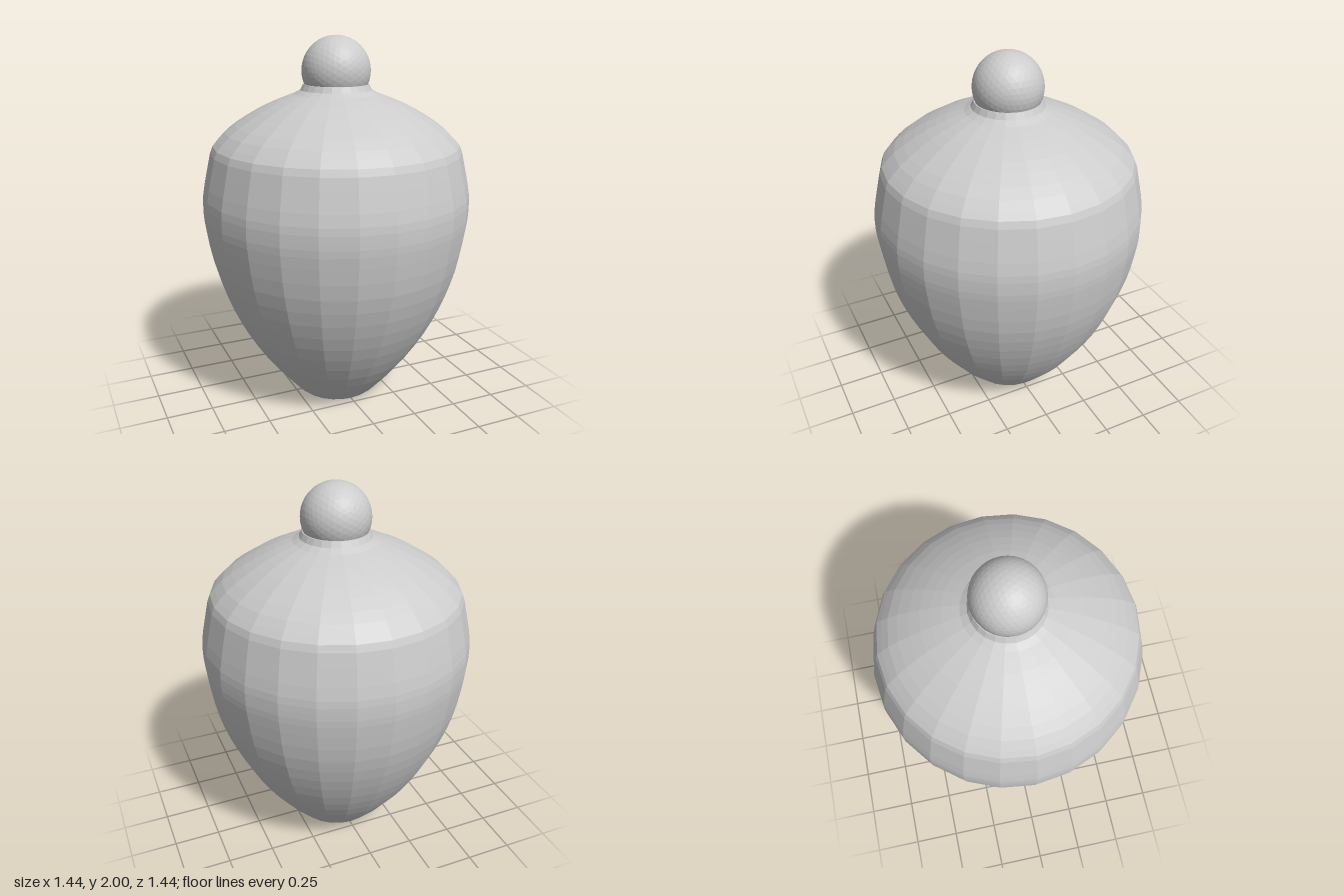
import * as THREE from 'three';

const SIDES = 24;
const material = new THREE.MeshStandardMaterial({ color: 0xcccccc, flatShading: true });

// Smooth curve through [radius, height] points
function profile(points, steps) {
  return new THREE.SplineCurve(points.map(([r, y]) => new THREE.Vector2(r, y))).getPoints(steps);
}

function addPart(group, name, geometry) {
  const mesh = new THREE.Mesh(geometry, material);
  mesh.name = name;
  group.add(mesh);
  return mesh;
}

export function createModel() {
  const group = new THREE.Group();
  group.name = 'lidded urn';

  // Closed foot with a small bevel, then the swelling belly
  const belly = [
    new THREE.Vector2(0, 0),
    new THREE.Vector2(0.21, 0),
    ...profile([[0.235, 0.02], [0.39, 0.2], [0.52, 0.4], [0.615, 0.6], [0.68, 0.8],
      [0.715, 1.0], [0.722, 1.1], [0.715, 1.2], [0.672, 1.4]], 20),
    new THREE.Vector2(0.658, 1.435),
  ];
  addPart(group, 'body', new THREE.LatheGeometry(belly, SIDES));

  // Domed lid rising from the shoulder crease to a flared neck
  const lid = [
    ...profile([[0.658, 1.435], [0.58, 1.515], [0.45, 1.6], [0.33, 1.66], [0.225, 1.7]], 9),
    new THREE.Vector2(0.19, 1.72),
    new THREE.Vector2(0.175, 1.75),
    new THREE.Vector2(0, 1.75),
  ];
  addPart(group, 'lid', new THREE.LatheGeometry(lid, SIDES));

  // Ball handle
  const knob = addPart(group, 'knob', new THREE.IcosahedronGeometry(0.182, 6));
  knob.position.y = 1.818;

  return group;
}
